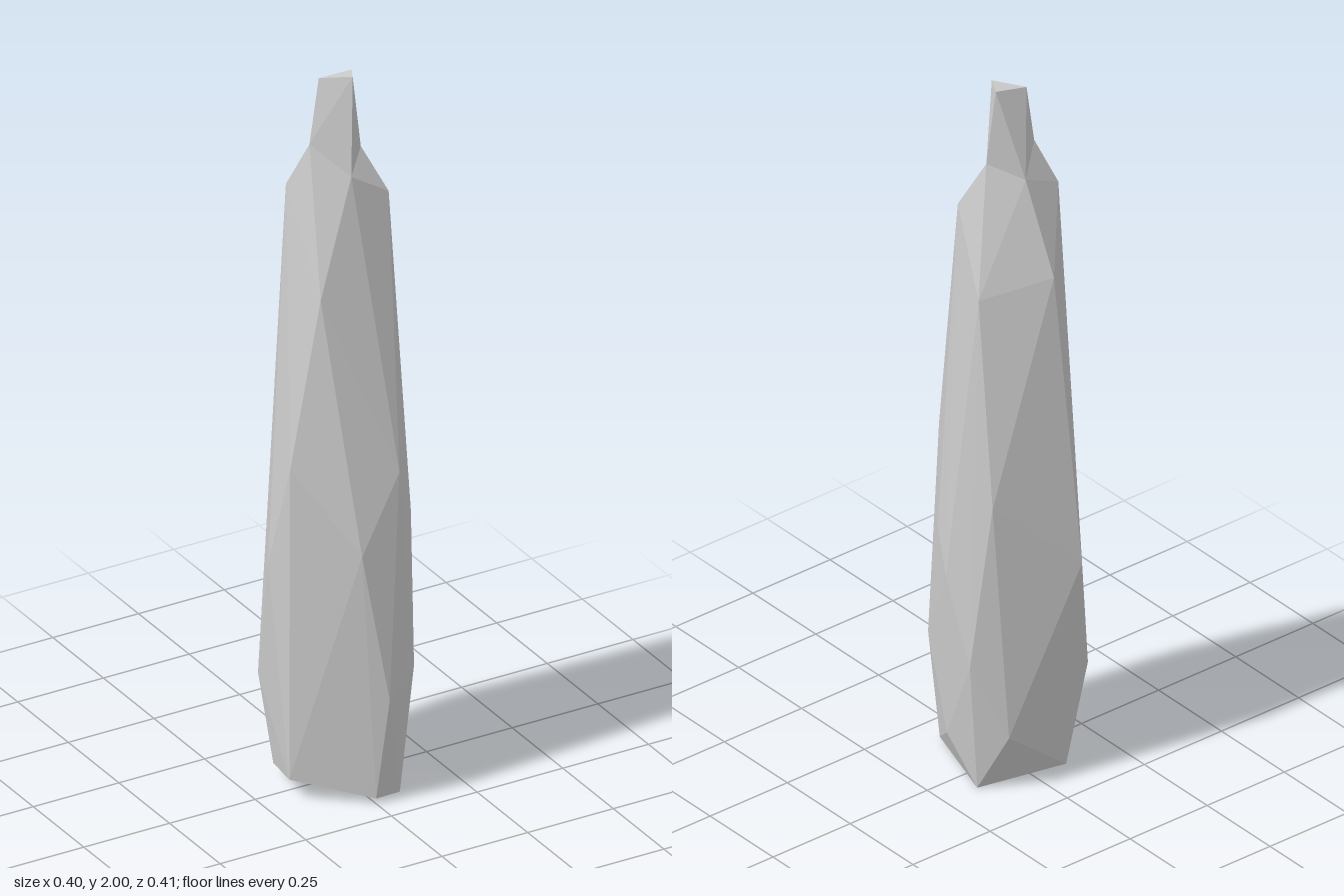
import * as THREE from 'three';
import { ConvexGeometry } from 'three/addons/geometries/ConvexGeometry.js';

// Corner points [x, y, z] of the chipped stone, listed level by level
const base = [
  [-0.18, 0.06, 0.05], [0, 0.015, 0.175], [0.075, 0.01, 0.165], [0.145, 0, -0.07],
  [0.17, 0.13, 0.02], [0.107, 0.17, -0.15], [-0.07, 0.03, -0.16], [-0.15, 0.04, -0.08],
];
const belly = [
  [0.023, 0.3, 0.203], [0.125, 0.35, 0.15], [0.185, 0.38, -0.09], [-0.165, 0.28, -0.13],
  [0.198, 0.62, -0.01], [-0.2, 0.65, -0.02], [-0.085, 0.64, -0.205], [-0.047, 0.72, 0.185],
  [0.175, 0.73, 0.05], [0.14, 0.85, -0.125], [0.065, 0.93, 0.18], [-0.183, 0.95, 0.06],
];
const shoulder = [
  [-0.108, 1.42, 0.083], [0.13, 1.43, -0.057], [-0.037, 1.48, -0.152],
  [0.11, 1.66, 0.05], [-0.122, 1.69, -0.065],
];
const neck = [
  [0, 1.73, 0.052], [-0.012, 1.74, -0.07], [0.057, 1.78, 0.002], [-0.078, 1.81, -0.023],
];
const tip = [[0.018, 2, 0.028], [0.04, 1.995, -0.015], [-0.045, 1.985, -0.033]];

export function createModel() {
  const group = new THREE.Group();
  group.name = 'stoneSpire';
  const material = new THREE.MeshStandardMaterial({ color: 0xcccccc, flatShading: true });

  // Each part is the faceted hull of its levels
  const addHull = (name, ...levels) => {
    const points = levels.flat().map((p) => new THREE.Vector3(...p));
    const mesh = new THREE.Mesh(new ConvexGeometry(points), material);
    mesh.name = name;
    group.add(mesh);
  };

  addHull('spireBody', base, belly, shoulder, neck);
  addHull('spireTip', neck, tip); // narrow tip, rising from the neck
  return group;
}
